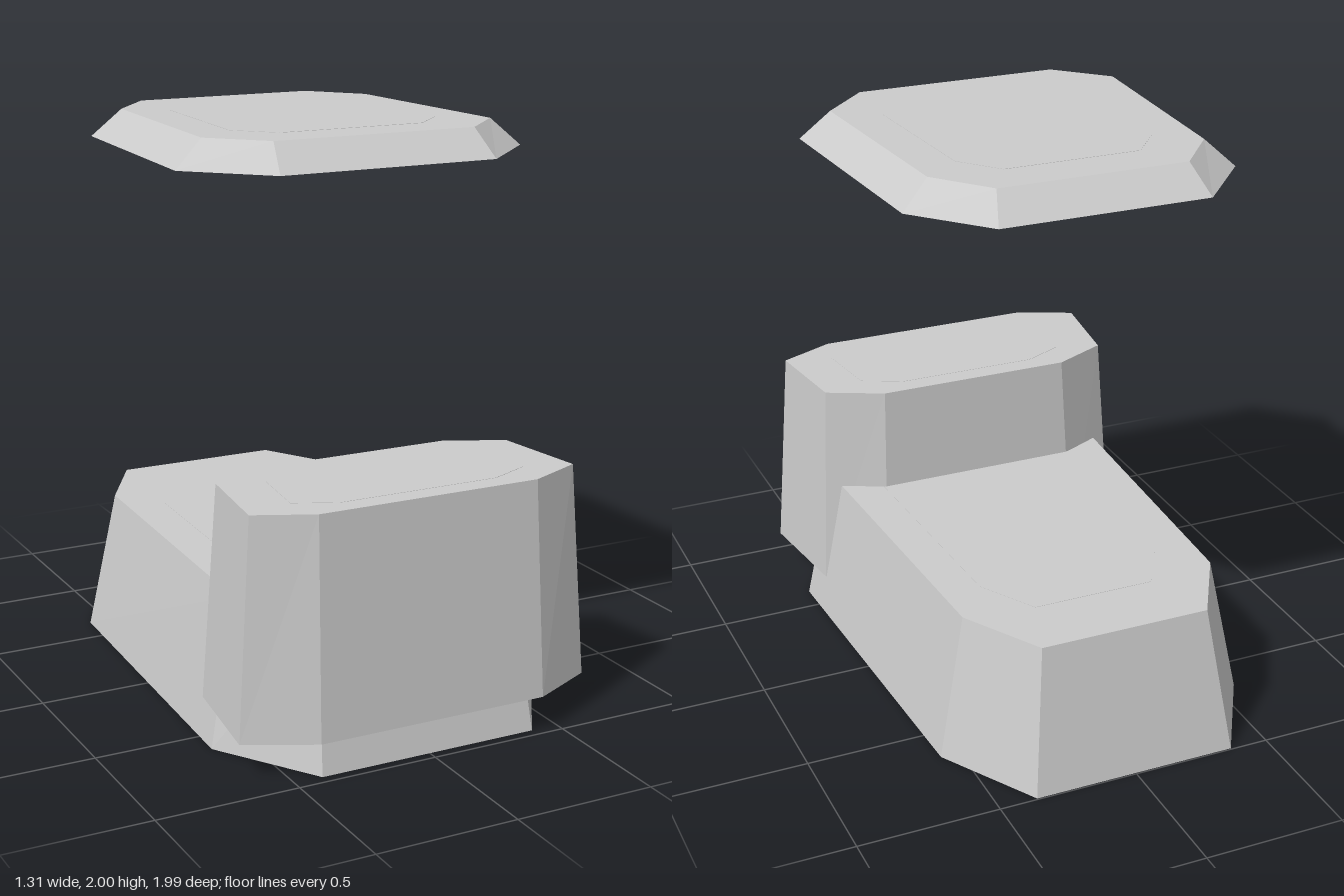
import * as THREE from 'three';

const material = new THREE.MeshStandardMaterial({ color: 0xcccccc, flatShading: true });

// Octagon mirrored in x from four [x, z] corners listed front to back on the +x side.
const octagon = (half) => [...half, ...half.slice().reverse().map(([x, z]) => [-x, z])];

// Closed prism between a lower and an upper octagon.
function prism(name, y0, lower, y1, upper) {
  const a = octagon(lower).map(([x, z]) => [x, y0, z]);
  const b = octagon(upper).map(([x, z]) => [x, y1, z]);
  const n = a.length;
  const pos = [];
  const tri = (...corners) => corners.forEach((c) => pos.push(...c));
  for (let i = 0; i < n; i++) {
    const j = (i + 1) % n;
    tri(a[i], a[j], b[j]);
    tri(a[i], b[j], b[i]);
    if (i > 0 && i < n - 1) {
      tri(b[0], b[i], b[j]);
      tri(a[0], a[j], a[i]);
    }
  }
  const geometry = new THREE.BufferGeometry();
  geometry.setAttribute('position', new THREE.Float32BufferAttribute(pos, 3));
  geometry.computeVertexNormals();
  const mesh = new THREE.Mesh(geometry, material);
  mesh.name = name;
  return mesh;
}

// Tapered block with a very thin inset panel on its top.
function block(name, y0, lower, y1, upper) {
  const group = new THREE.Group();
  group.name = name;
  const mid = (upper[0][1] + upper[3][1]) / 2;
  const inset = upper.map(([x, z]) => [x * 0.72, mid + (z - mid) * 0.72]);
  group.add(prism(name + 'Shell', y0, lower, y1, upper));
  group.add(prism(name + 'Panel', y1 - 0.002, inset, y1 + 0.001, inset));
  return group;
}

export function createModel() {
  const model = new THREE.Group();
  model.name = 'model';

  // Long low base
  model.add(block('base',
    0, [[0.40, 0.965], [0.63, 0.61], [0.57, -0.645], [0.365, -0.995]],
    0.51, [[0.365, 0.87], [0.53, 0.575], [0.47, -0.61], [0.305, -0.895]]));

  // Tall block overhanging the front
  model.add(block('frontBlock',
    0.13, [[0.42, 0.995], [0.655, 0.88], [0.60, 0.475], [0.385, 0.37]],
    0.885, [[0.405, 0.945], [0.605, 0.855], [0.56, 0.51], [0.36, 0.415]]));

  // Roof slab floating above
  model.add(block('roof',
    1.905, [[0.395, 0.66], [0.645, 0.415], [0.59, -0.45], [0.37, -0.70]],
    2.0, [[0.37, 0.56], [0.54, 0.385], [0.49, -0.41], [0.335, -0.60]]));

  return model;
}
